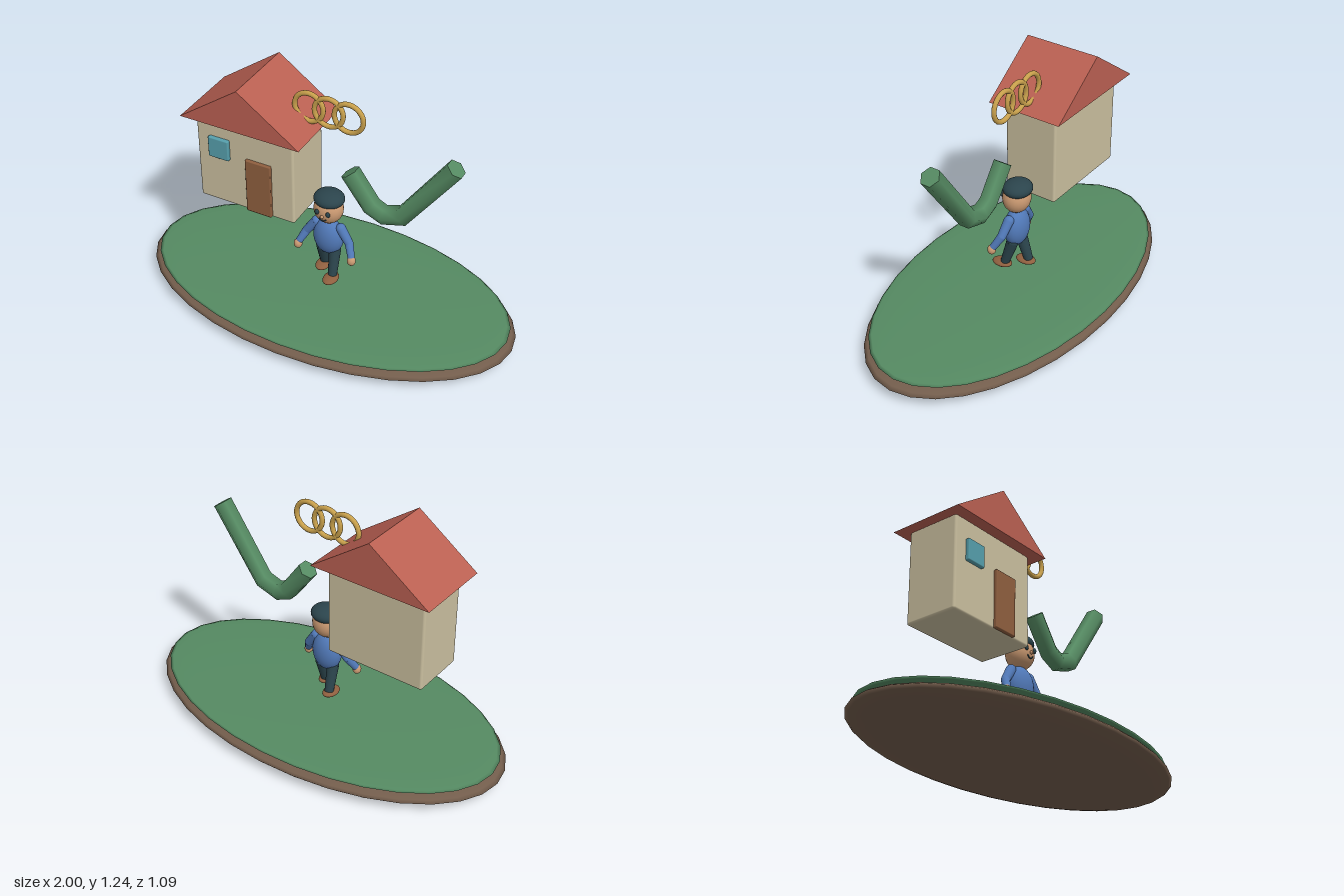
import * as THREE from 'three';
import { RoundedBoxGeometry } from 'three/addons/geometries/RoundedBoxGeometry.js';

const V = (x, y, z) => new THREE.Vector3(x, y, z);

function material(name, color) {
  const m = new THREE.MeshStandardMaterial({ color });
  m.name = name;
  return m;
}

export function createModel() {
  const soil = material('soil brown', 0x735d4c);
  const grass = material('grass green', 0x558a62);
  const cream = material('wall cream', 0xcabf9f);
  const red = material('roof red', 0xba6052);
  const wood = material('wood brown', 0x8f5f3f);
  const teal = material('window teal', 0x569fac);
  const gold = material('ring gold', 0xc8a04c);
  const blue = material('shirt blue', 0x5179b8);
  const skin = material('skin', 0xcb9a72);
  const navy = material('dark slate', 0x2b444c);

  const model = new THREE.Group();
  model.name = 'scene';

  function add(parent, name, geometry, mat, x = 0, y = 0, z = 0) {
    const mesh = new THREE.Mesh(geometry, mat);
    mesh.name = name;
    mesh.position.set(x, y, z);
    parent.add(mesh);
    return mesh;
  }
  function group(name) {
    const g = new THREE.Group();
    g.name = name;
    model.add(g);
    return g;
  }
  const ellipsoid = (rx, ry, rz, w = 24, h = 16) => new THREE.SphereGeometry(1, w, h).scale(rx, ry, rz);

  // Tapered limb piece between two points, with a round joint at its start
  function limb(parent, name, a, b, ra, rb, mat) {
    const dir = b.clone().sub(a);
    const mid = a.clone().add(b).multiplyScalar(0.5);
    const m = add(parent, name, new THREE.CylinderGeometry(rb, ra, dir.length(), 16), mat, mid.x, mid.y, mid.z);
    m.quaternion.setFromUnitVectors(V(0, 1, 0), dir.normalize());
    add(parent, name + 'Joint', new THREE.SphereGeometry(ra, 16, 10), mat, a.x, a.y, a.z);
  }

  // Island
  const island = group('island');
  add(island, 'soil', ellipsoid(1, 0.06, 0.545, 32, 16), soil, 0, 0.06, 0);
  add(island, 'grass', ellipsoid(0.97, 0.02, 0.527, 32, 16), grass, 0, 0.105, 0);

  // House
  const house = group('house');
  add(house, 'walls', new RoundedBoxGeometry(0.53, 0.484, 0.288, 3, 0.012), cream, -0.377, 0.774, 0);
  add(house, 'door', new RoundedBoxGeometry(0.138, 0.3, 0.022, 2, 0.005), wood, -0.301, 0.687, 0.15);
  add(house, 'window', new RoundedBoxGeometry(0.112, 0.113, 0.024, 2, 0.006), teal, -0.516, 0.856, 0.152);
  const gable = new THREE.Shape([[-0.322, 0], [0.322, 0], [0, 0.23]].map(([x, y]) => new THREE.Vector2(x, y)));
  add(house, 'roof', new THREE.ExtrudeGeometry(gable, { depth: 0.4, bevelEnabled: false }), red, -0.373, 1.014, -0.2);

  // Linked rings
  const rings = group('rings');
  for (const x of [-0.104, 0, 0.104]) {
    add(rings, 'ring', new THREE.TorusGeometry(0.075, 0.0125, 10, 36), gold, x, 1.128, 0);
  }

  // Bent six-sided pipe, one ring of vertices at each path point
  const pipe = group('pipe');
  const path = [V(0.115, 0.832, 0), V(0.232, 0.672, 0), V(0.298, 0.642, 0), V(0.395, 0.672, 0), V(0.645, 1.027, 0)];
  const last = path.length - 1;
  class Bends extends THREE.Curve {
    getPointAt(u) {
      return path[Math.round(u * last)].clone();
    }
    getTangentAt(u) {
      const i = Math.round(u * last);
      const t = V(0, 0, 0);
      if (i > 0) t.add(path[i].clone().sub(path[i - 1]).normalize());
      if (i < last) t.add(path[i + 1].clone().sub(path[i]).normalize());
      return t.normalize();
    }
  }
  add(pipe, 'pipeBody', new THREE.TubeGeometry(new Bends(), last, 0.05, 6, false), grass);
  for (const [end, inner] of [[0, 1], [last, last - 1]]) {
    const out = path[end].clone().sub(path[inner]).normalize();
    const across = V(0, 0, 1);
    const cap = add(pipe, 'pipeEnd', new THREE.CircleGeometry(0.05, 6), grass, path[end].x, path[end].y, 0);
    cap.quaternion.setFromRotationMatrix(new THREE.Matrix4().makeBasis(across, out.clone().cross(across), out));
  }

  // Walking figure
  const figure = group('figure');
  add(figure, 'torso', ellipsoid(0.081, 0.105, 0.058), blue, 0, 0.404, 0);
  add(figure, 'head', ellipsoid(0.076, 0.08, 0.07), skin, 0, 0.576, 0);
  add(figure, 'hair', ellipsoid(0.079, 0.042, 0.073), navy, 0, 0.632, -0.006);
  add(figure, 'nose', ellipsoid(0.009, 0.009, 0.009, 12, 8), skin, 0, 0.567, 0.071);
  const smile = new THREE.TorusGeometry(0.02, 0.0035, 6, 14, Math.PI * 0.8).rotateZ(Math.PI * 1.1);
  add(figure, 'mouth', smile, navy, 0, 0.559, 0.064);

  for (const side of [1, -1]) {
    const step = 0.042 * side; // left leg forward, right leg back
    add(figure, 'eye', ellipsoid(0.012, 0.015, 0.008, 14, 10), navy, 0.03 * side, 0.586, 0.066);

    const shoulder = V(0.068 * side, 0.472, 0);
    const elbow = V(0.118 * side, 0.402, 0.008);
    const wrist = V(0.147 * side, 0.342, 0.04);
    limb(figure, 'upperArm', shoulder, elbow, 0.026, 0.022, blue);
    limb(figure, 'forearm', elbow, wrist, 0.022, 0.018, blue);
    add(figure, 'hand', ellipsoid(0.022, 0.026, 0.022, 16, 12), skin, 0.15 * side, 0.329, 0.045);

    const hip = V(0.036 * side, 0.33, 0);
    const ankle = V(0.043 * side, 0.195, step);
    limb(figure, 'leg', hip, ankle, 0.031, 0.023, navy);
    add(figure, 'shoe', ellipsoid(0.038, 0.017, 0.055, 20, 12), wood, 0.043 * side, 0.185, step + 0.017);
  }

  return model;
}
